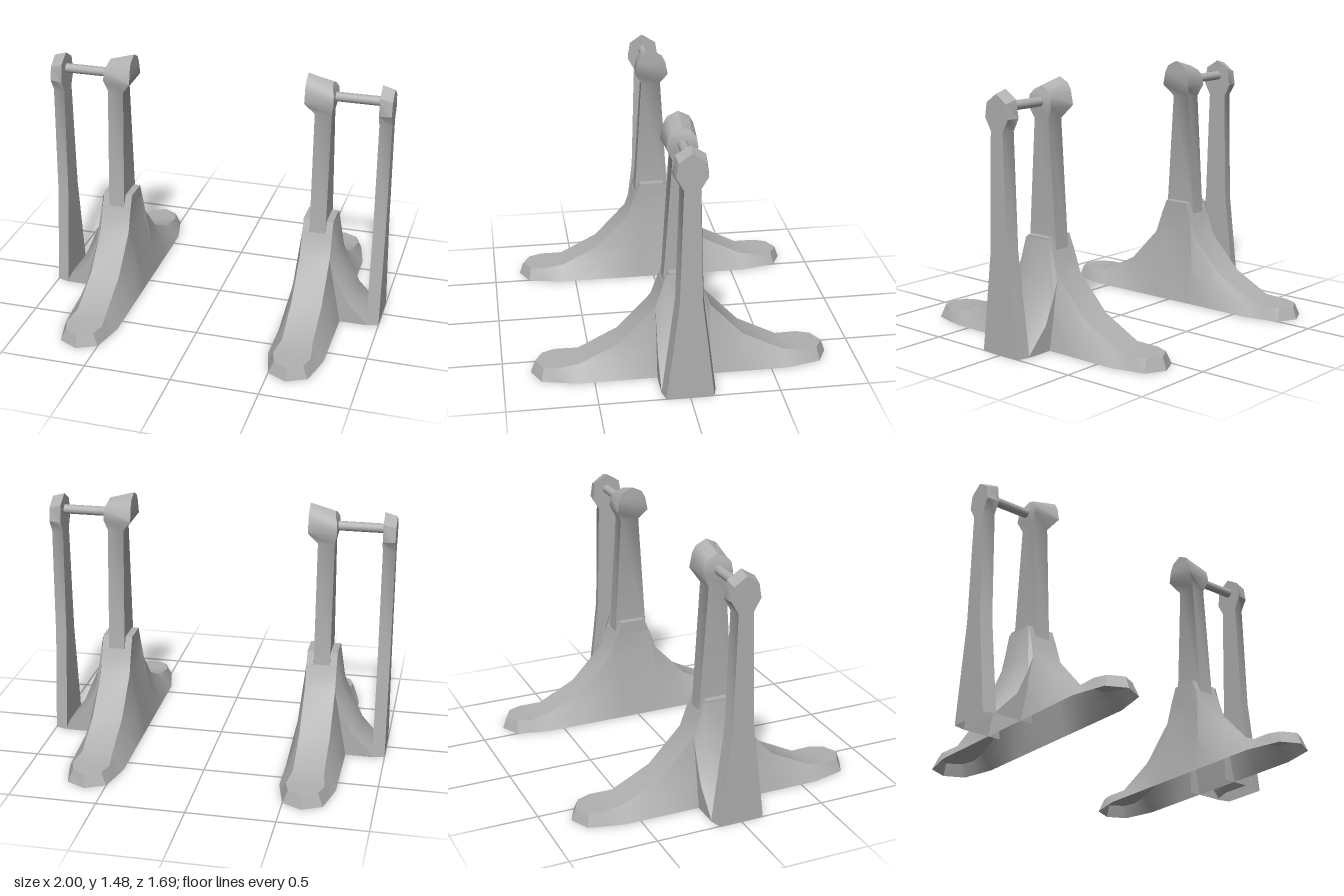
import * as THREE from 'three';
import { toCreasedNormals } from 'three/addons/utils/BufferGeometryUtils.js';

const steel = new THREE.MeshStandardMaterial({ color: 0xb0b0b0, side: THREE.DoubleSide });
steel.name = 'grey steel';

// Skin a list of cross-sections (each a list of [x, y, z]) with quads.
function loft(rows, closed = false) {
  const pos = [];
  const tri = (...p) => {
    const [a, b, c] = p.map((q) => new THREE.Vector3(...q));
    if (b.clone().sub(a).cross(c.clone().sub(a)).length() > 1e-7) p.forEach((q) => pos.push(...q));
  };
  for (let i = 0; i + 1 < rows.length; i++) {
    const n = rows[i].length;
    for (let j = 0; j < (closed ? n : n - 1); j++) {
      const k = (j + 1) % n;
      tri(rows[i][j], rows[i + 1][j], rows[i + 1][k]);
      tri(rows[i][j], rows[i + 1][k], rows[i][k]);
    }
  }
  const g = new THREE.BufferGeometry();
  g.setAttribute('position', new THREE.Float32BufferAttribute(pos, 3));
  return toCreasedNormals(g, 0.65);
}

function add(group, name, geometry) {
  const mesh = new THREE.Mesh(geometry, steel);
  mesh.name = name;
  group.add(mesh);
  return mesh;
}

// Upright made of levels: [xInner, yInner, zInner, xOuter, yOuter, zOuter]
const upright = (levels) => loft(levels.map(([xi, yi, zi, xo, yo, zo]) => [
  [xi, yi, zi], [xi, yi, -zi], [xo, yo, -zo], [xo, yo, zo],
]), true);

const CX = 0.612;

function makeStand() {
  const stand = new THREE.Group();

  // Hollow foot: [zBase, halfWidthBase, zTop, halfWidthTop, height]
  const half = [
    [0.845, 0, 0.82, 0, 0.07], [0.79, 0.112, 0.775, 0.082, 0.072],
    [0.69, 0.137, 0.70, 0.108, 0.075], [0.59, 0.16, 0.57, 0.088, 0.085],
    [0.345, 0.16, 0.345, 0.088, 0.2], [0.155, 0.16, 0.155, 0.088, 0.4],
    [0.105, 0.16, 0.105, 0.088, 0.54],
  ];
  const back = half.map(([a, b, c, d, e]) => [-a, b, -c, d, e]).reverse();
  const rows = [...half, ...back].map(([zb, wb, zt, wt, h]) => {
    const tall = h > 0.45;
    const m = tall ? [wt, 0.39, zt] : [(wb + wt) / 2, h / 2, (zb + zt) / 2];
    return [
      [CX - wb, 0, zb], [CX - m[0], m[1], m[2]], [CX - wt, h, zt],
      [CX + wt, h, zt], [CX + m[0], m[1], m[2]], [CX + wb, 0, zb],
    ];
  });
  add(stand, 'foot', loft(rows));

  // Ears clasping the base of the inner post
  const ear = new THREE.Shape([[0.105, 0.535], [0.075, 0.61], [-0.075, 0.61], [-0.105, 0.535]]
    .map((p) => new THREE.Vector2(...p)));
  for (const x of [0.524, 0.66]) {
    const g = new THREE.ExtrudeGeometry(ear, { depth: 0.04, bevelEnabled: false });
    g.rotateY(Math.PI / 2);
    add(stand, 'ear', g).position.x = x;
  }

  // Inner post with its flared head
  add(stand, 'innerPost', upright([
    [0.565, 0.53, 0.102, 0.66, 0.53, 0.102],
    [0.565, 1.26, 0.058, 0.66, 1.26, 0.052],
    [0.512, 1.33, 0.098, 0.675, 1.33, 0.085],
    [0.512, 1.41, 0.082, 0.672, 1.39, 0.075],
    [0.512, 1.45, 0.06, 0.66, 1.42, 0.05],
    [0.512, 1.48, 0, 0.655, 1.44, 0],
  ]));

  // Outer post, tapered upward and narrower on its outside face
  add(stand, 'outerPost', upright([
    [0.93, 0, 0.15, 1, 0, 0.132],
    [0.93, 0.58, 0.077, 1, 0.58, 0.062],
    [0.93, 1.23, 0.057, 1, 1.23, 0.044],
    [0.93, 1.3, 0.095, 1, 1.3, 0.085],
    [0.93, 1.4, 0.08, 1, 1.38, 0.072],
    [0.93, 1.45, 0, 1, 1.43, 0],
  ]));

  // Buttress sweeping from the foot out to the outer post
  const rails = [ // [xRidge, yRidge, xEdge, yEdge]
    [0.70, 0.6, 0.70, 0.4], [0.73, 0.4, 0.735, 0.3],
    [0.84, 0.15, 0.80, 0.15], [0.93, 0.03, 0.93, 0.01],
  ];
  add(stand, 'buttress', loft(rails.map(([xr, yr, xe, ye]) => [
    [xe, 0, 0.15], [xe, ye, 0.15], [xr, yr, 0.09],
    [xr, yr, -0.09], [xe, ye, -0.15], [xe, 0, -0.15],
  ])));

  // Rod joining the two heads
  const rod = add(stand, 'rod', new THREE.CylinderGeometry(0.027, 0.027, 0.3, 16));
  rod.rotation.z = Math.PI / 2;
  rod.position.set(0.795, 1.355, 0);
  return stand;
}

export function createModel() {
  const model = new THREE.Group();
  model.name = 'pairOfStands';
  ['leftStand', 'rightStand'].forEach((name, i) => {
    const stand = makeStand();
    stand.name = name;
    stand.rotation.y = i * Math.PI;
    model.add(stand);
  });
  return model;
}
